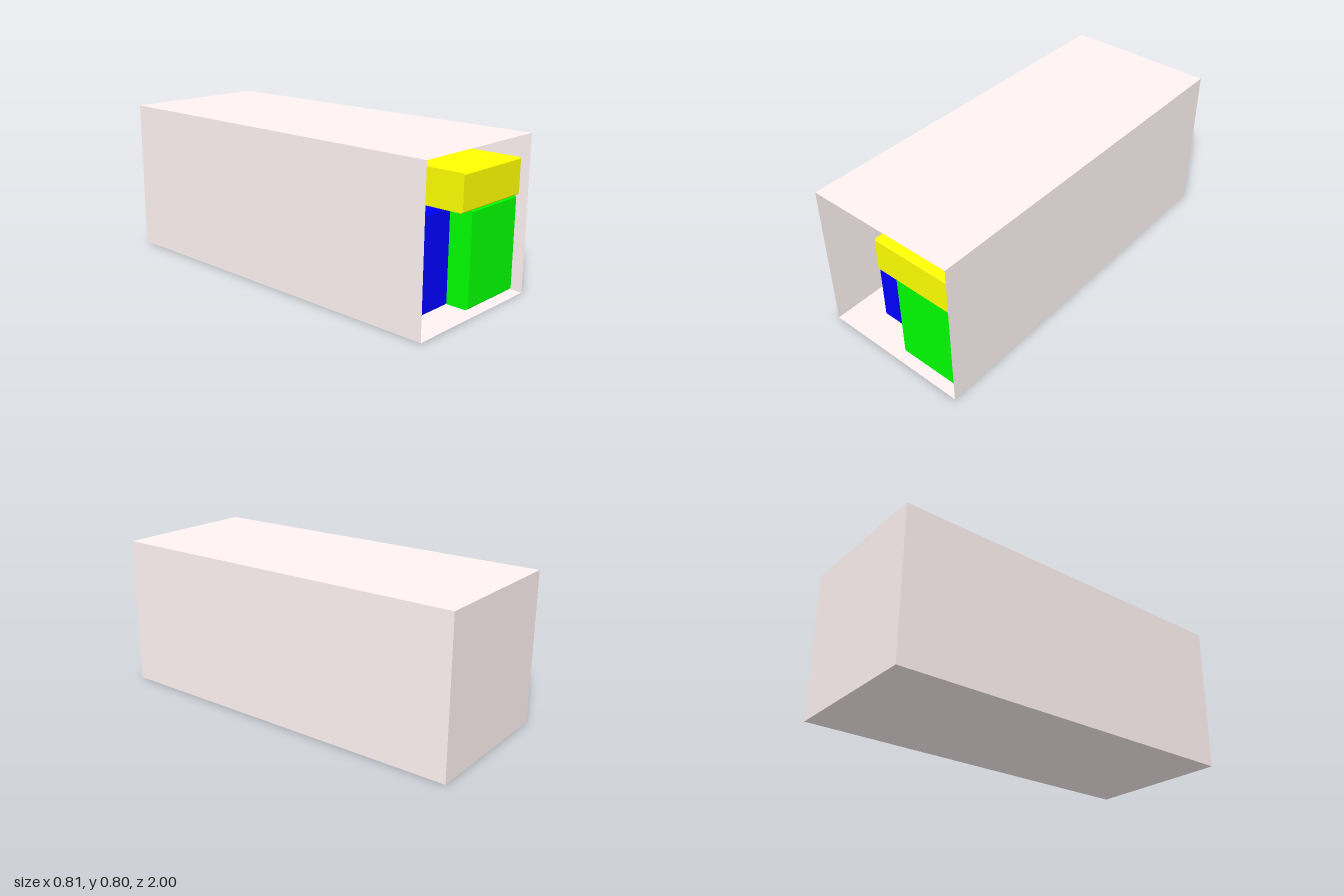
import * as THREE from 'three';

const mat = (color, side = THREE.FrontSide) =>
  new THREE.MeshStandardMaterial({ color, side, flatShading: true });

const COLORS = {
  blue: mat(0x0000ff),
  green: mat(0x00ff00),
  yellow: mat(0xffff00),
  red: mat(0xff0000),
};

// Carton with chamfered long edges: an eight-sided profile in z/y, extruded along x
function carton(name, color, [x0, x1], [y0, y1], [z0, z1], c = 0.01) {
  const profile = new THREE.Shape([
    [z0 + c, y0], [z1 - c, y0], [z1, y0 + c], [z1, y1 - c],
    [z1 - c, y1], [z0 + c, y1], [z0, y1 - c], [z0, y0 + c],
  ].map(([z, y]) => new THREE.Vector2(-z, y)));
  const geo = new THREE.ExtrudeGeometry(profile, { depth: x1 - x0, bevelEnabled: false });
  geo.rotateY(Math.PI / 2); // profile -z becomes world z, extrusion becomes x
  geo.translate(x0, 0, 0);
  const mesh = new THREE.Mesh(geo, COLORS[color]);
  mesh.name = name;
  return mesh;
}

export function createModel() {
  const model = new THREE.Group();
  model.name = 'loadedContainer';

  // Thin-walled container, open at the front (+z face removed)
  const shell = new THREE.BoxGeometry(0.81, 0.8, 2);
  const index = Array.from(shell.index.array);
  index.splice(24, 6);
  shell.setIndex(index);
  shell.clearGroups();
  shell.translate(0, 0.4, 0);
  const container = new THREE.Mesh(shell, mat(0xfff2f2, THREE.DoubleSide));
  container.name = 'container';
  model.add(container);

  const cargo = new THREE.Group();
  cargo.name = 'cargo';
  const low = [0.002, 0.493];
  cargo.add(
    // Lower layer, from the opening to the back
    carton('frontGreenCarton', 'green', [0.023, 0.393], low, [0.45, 0.945], 0.012),
    carton('frontBlueCarton', 'blue', [-0.232, 0.008], low, [0.58, 0.834], 0.012),
    carton('rearGreenCarton', 'green', [-0.347, 0.005], low, [0.08, 0.57], 0.012),
    carton('middleGreenCarton', 'green', [0.023, 0.393], low, [-0.05, 0.44], 0.012),
    carton('rearRedCarton', 'red', [-0.355, 0.005], low, [-0.36, 0.07], 0.012),
    carton('flatRedCarton', 'red', [-0.373, 0.1], [0.002, 0.06], [-0.86, -0.37], 0.006),
    // Upper layer
    carton('topYellowCarton', 'yellow', [-0.075, 0.39], [0.496, 0.68], [0.6, 0.96], 0.007),
    carton('topBlueCarton', 'blue', [-0.075, 0.39], [0.496, 0.747], [0.34, 0.59], 0.007),
    carton('sideBlueCarton', 'blue', [-0.335, -0.095], [0.494, 0.747], [0.07, 0.56], 0.007),
  );
  model.add(cargo);
  return model;
}
